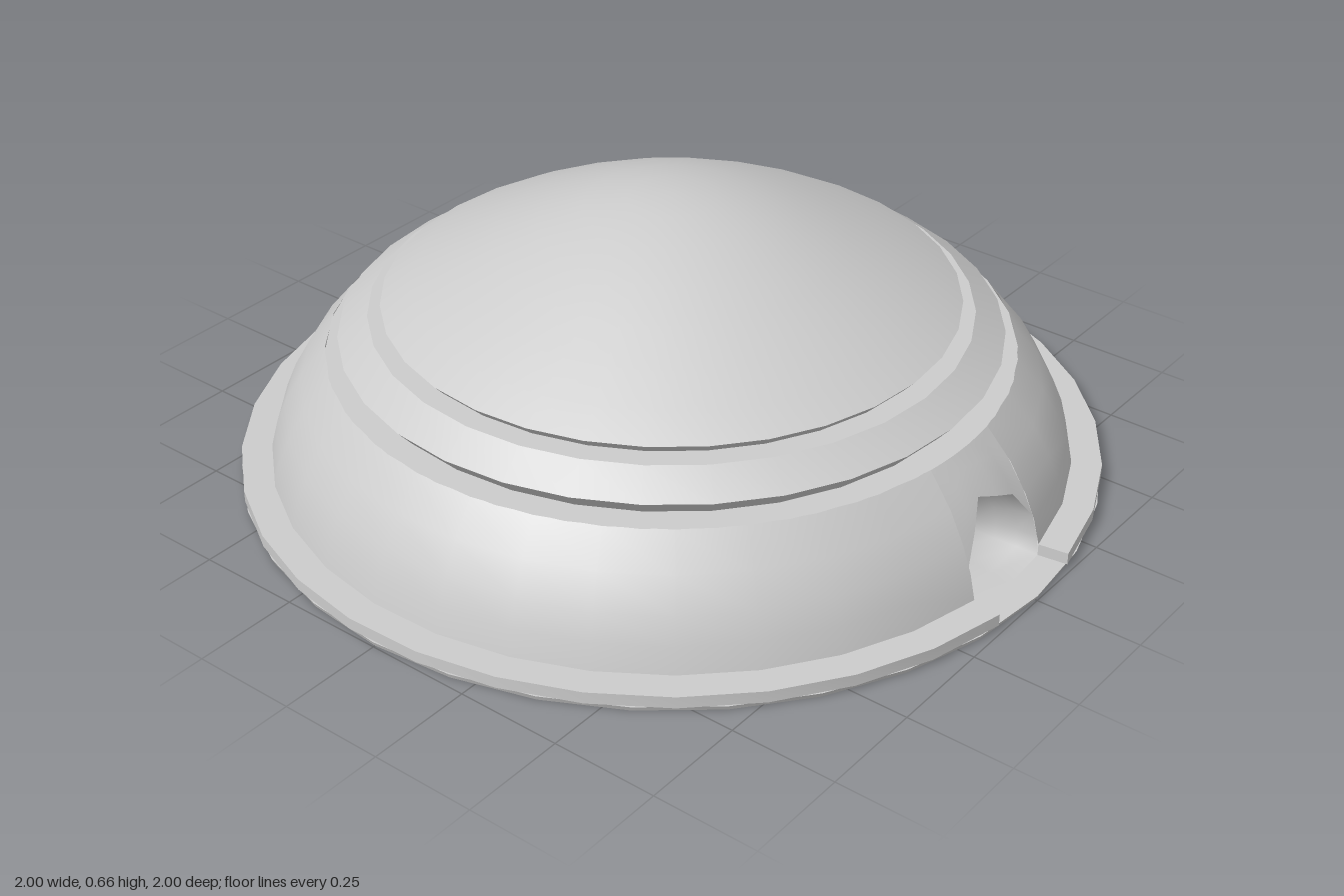
import * as THREE from 'three';
import { toCreasedNormals } from 'three/addons/utils/BufferGeometryUtils.js';

const material = new THREE.MeshStandardMaterial({ color: 0xcccccc, side: THREE.DoubleSide });
const SIDES = 32;
const DOOR = 0.14; // half angle of the doorway
const FLOOR = 0.012;
const WALL = [[0.93, 0.04], [0.915, 0.1], [0.89, 0.16], [0.85, 0.23], [0.79, 0.302]];

function part(name, geometry) {
  const mesh = new THREE.Mesh(geometry, material);
  mesh.name = name;
  return mesh;
}

// Revolved profile of [radius, height] pairs, from bottom to top
function turned(name, profile, gap = 0) {
  const points = profile.map(([r, y]) => new THREE.Vector2(r, y));
  const lathe = new THREE.LatheGeometry(points, SIDES, gap, Math.PI * 2 - gap * 2);
  return part(name, toCreasedNormals(lathe, 0.6));
}

// Surface through equally long rows of points
function skin(name, rows) {
  const n = rows[0].length;
  const index = [];
  for (let i = 0; i < rows.length - 1; i++) {
    for (let j = 0; j < n - 1; j++) {
      const a = i * n + j;
      index.push(a, a + 1, a + n, a + 1, a + n + 1, a + n);
    }
  }
  const geometry = new THREE.BufferGeometry().setFromPoints(rows.flat());
  geometry.setIndex(index);
  geometry.computeVertexNormals();
  return part(name, geometry);
}

// Wall radius at a height
function wallRadius(y) {
  for (let i = 1; i < WALL.length; i++) {
    const [r0, y0] = WALL[i - 1];
    const [r1, y1] = WALL[i];
    if (y <= y1) return r0 + (r1 - r0) * Math.max(0, (y - y0) / (y1 - y0));
  }
  return WALL[WALL.length - 1][0];
}

const polar = (phi, r, y) => new THREE.Vector3(r * Math.sin(phi), y, r * Math.cos(phi));
const onWall = (phi, y) => polar(phi, wallRadius(y), y);

export function createModel() {
  const model = new THREE.Group();
  model.name = 'domedShelter';

  // Base plate, and flange with lower wall left open at the doorway
  model.add(turned('basePlate', [[0, 0], [0.995, 0], [1, FLOOR], [0, FLOOR]]));
  model.add(turned('flange', [[1, FLOOR], [1, 0.04], [0.93, 0.04]], DOOR));
  model.add(turned('lowerWall', WALL, DOOR));

  // Ledge, middle ring and domed roof
  model.add(turned('ledge', [[0.79, 0.302], [0.73, 0.302]]));
  model.add(turned('middleRing', [[0.725, 0.3], [0.76, 0.34], [0.69, 0.39], [0.62, 0.39]]));
  model.add(turned('domeRoof', [
    [0.635, 0.388], [0.66, 0.415], [0.59, 0.455], [0.5, 0.5], [0.4, 0.55],
    [0.3, 0.593], [0.2, 0.63], [0.1, 0.653], [0, 0.66],
  ]));

  // Rough arch of the doorway as [angle, height]
  const arch = [[-DOOR, 0.115], [-0.09, 0.17], [-0.035, 0.222], [0.03, 0.2], [0.09, 0.18], [DOOR, 0.11]];

  // Wall above the arch
  const lintel = [0, 0.33, 0.67, 1].map((t) =>
    arch.map(([phi, y]) => onWall(phi, y + (0.302 - y) * t)));
  model.add(skin('wallAboveDoor', lintel));

  // Rounded hollow behind the doorway
  const rim = [[-DOOR, FLOOR], [-DOOR, 0.06], ...arch, [DOOR, 0.06], [DOOR, FLOOR], [0, FLOOR], [-DOOR, FLOOR]]
    .reverse().map(([phi, y]) => onWall(phi, y));
  const hollow = [];
  for (let i = 0; i <= 5; i++) {
    const a = (i / 5) * Math.PI / 2;
    const s = Math.cos(a);
    hollow.push(rim.map((p) => new THREE.Vector3(
      p.x * s, 0.1 + (p.y - 0.1) * s, p.z + (0.76 - p.z) * Math.sin(a))));
  }
  model.add(skin('doorHollow', hollow));

  // Cut ends of the flange beside the doorway
  for (const side of [-1, 1]) {
    const ends = [FLOOR, 0.04].map((y) => [polar(side * DOOR, 0.93, y), polar(side * DOOR, 1, y)]);
    if (side > 0) ends.reverse();
    model.add(skin(side > 0 ? 'leftFlangeEnd' : 'rightFlangeEnd', ends));
  }
  return model;
}
